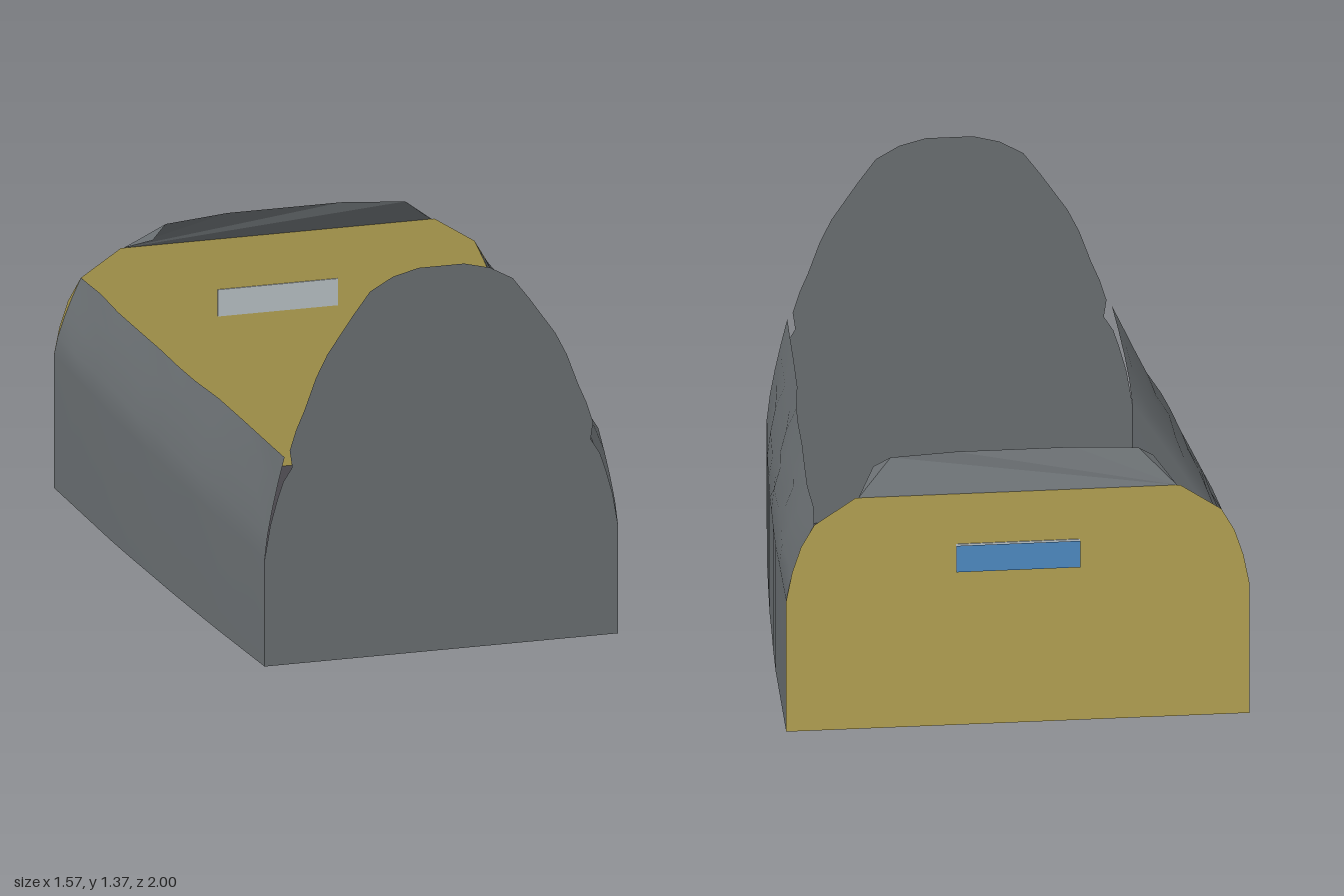
import * as THREE from 'three';

const grey = new THREE.MeshStandardMaterial({ color: 0x6a6f72, side: THREE.DoubleSide, name: 'slate grey' });
const gold = new THREE.MeshStandardMaterial({ color: 0xb5a353, side: THREE.DoubleSide, name: 'ochre' });
const dark = new THREE.MeshStandardMaterial({ color: 0x47454a, side: THREE.DoubleSide, name: 'dark floor' });
const pale = new THREE.MeshStandardMaterial({ color: 0xb9c1c5, side: THREE.DoubleSide, name: 'pale grey' });
const blue = new THREE.MeshStandardMaterial({ color: 0x4e8bc3, side: THREE.DoubleSide, name: 'glass blue' });

const BACK = -0.98;

// Stations along the body: z, half width, half width of top edge, shoulder height
const stations = [
  [1, 0.62, 0.55, 0.38],
  [0.85, 0.637, 0.56, 0.39],
  [0.6, 0.665, 0.575, 0.4],
  [0.35, 0.69, 0.592, 0.41],
  [0.15, 0.709, 0.618, 0.42],
  [0, 0.721, 0.63, 0.43],
  [-0.2, 0.738, 0.64, 0.44],
  [-0.4, 0.753, 0.655, 0.45],
  [-0.6, 0.764, 0.669, 0.46],
  [-0.8, 0.775, 0.672, 0.465],
  [BACK, 0.785, 0.69, 0.47],
];

function add(group, name, geometry, material) {
  const mesh = new THREE.Mesh(geometry, material);
  mesh.name = name;
  group.add(mesh);
  return mesh;
}

// Flat panel symmetric in x, from the outline of its right half
function panel(half) {
  const points = [...half, ...half.map(([x, y]) => [-x, y]).reverse()];
  return new THREE.ShapeGeometry(new THREE.Shape(points.map(([x, y]) => new THREE.Vector2(x, y))));
}

// Side wall lofted through the stations, leaning in above the shoulder
function wall(side) {
  const rows = [0, 0.25, 0.5, 0.75, 1];
  const pos = [];
  const index = [];
  const n = rows.length + 1;
  stations.forEach(([z, wide, top, shoulder], i) => {
    const inner = i > 0 && i < stations.length - 1;
    pos.push(side * wide, 0, z);
    rows.forEach((t) => {
      const dent = inner ? 0.008 * Math.sin(i * 2.3 + t * 5 + side) * Math.sin(t * Math.PI) : 0;
      const x = wide + (top - wide) * Math.pow(t, 1.35) + dent;
      pos.push(side * x, shoulder + (0.738 - shoulder) * t, z);
    });
  });
  for (let i = 0; i < stations.length - 1; i++) {
    for (let j = 0; j < n - 1; j++) {
      const a = i * n + j, b = a + n, c = b + 1, d = a + 1;
      if (side > 0) index.push(a, b, c, a, c, d);
      else index.push(a, c, b, a, d, c);
    }
  }
  const g = new THREE.BufferGeometry();
  g.setAttribute('position', new THREE.Float32BufferAttribute(pos, 3));
  g.setIndex(index);
  g.computeVertexNormals();
  return g;
}

// Folded flap: a slanted sheet with a turned-in corner at each end
function flap() {
  const pos = [];
  const sheet = [
    [-0.54, 0.83, BACK], [-0.42, 0.935, -0.885], [-0.2, 0.95, -0.895],
    [0.2, 0.95, -0.895], [0.42, 0.935, -0.885], [0.54, 0.83, BACK],
  ];
  for (let i = 1; i < sheet.length - 1; i++) pos.push(...sheet[0], ...sheet[i], ...sheet[i + 1]);
  const tip = (s) => [s * 0.475, 0.893, -0.853];
  pos.push(...sheet[0], ...tip(-1), ...sheet[1]);
  pos.push(...sheet[5], ...sheet[4], ...tip(1));
  // Wind every triangle so that its face looks up
  for (let i = 0; i < pos.length; i += 9) {
    const [a, b, c] = [0, 3, 6].map((k) => new THREE.Vector3(...pos.slice(i + k, i + k + 3)));
    if (b.clone().sub(a).cross(c.clone().sub(a)).y < 0) pos.splice(i + 3, 6, ...c.toArray(), ...b.toArray());
  }
  const g = new THREE.BufferGeometry();
  g.setAttribute('position', new THREE.Float32BufferAttribute(pos, 3));
  g.computeVertexNormals();
  return g;
}

export function createModel() {
  const model = new THREE.Group();
  model.name = 'openBody';

  // Floor follows the wall feet
  const floor = panel(stations.map(([z, wide]) => [wide, -z]));
  add(model, 'floor', floor.rotateX(-Math.PI / 2), dark);

  // Side walls
  add(model, 'leftWall', wall(1), grey);
  add(model, 'rightWall', wall(-1), grey);

  // Tall arched front panel, notched where it meets the wall tops
  const front = panel([
    [0.62, 0], [0.62, 0.38], [0.6, 0.5], [0.575, 0.59], [0.555, 0.65], [0.523, 0.7], [0.532, 0.76],
    [0.51, 0.83], [0.48, 0.9], [0.44, 1.01], [0.4, 1.09], [0.31, 1.22],
    [0.25, 1.3], [0.17, 1.345], [0.08, 1.368],
  ]);
  add(model, 'frontPanel', front, grey).position.z = 1;

  // Back panel with rounded shoulders
  const back = panel([
    [0.785, 0], [0.785, 0.47], [0.765, 0.57], [0.735, 0.66], [0.69, 0.738], [0.55, 0.83],
  ]);
  add(model, 'backPanel', back.rotateY(Math.PI), gold).position.z = BACK;
  add(model, 'backFlap', flap(), grey);

  // Rear window: pale plate in the panel and a pane just outside it
  add(model, 'windowPlate', new THREE.BoxGeometry(0.42, 0.095, 0.008), pale).position.set(0, 0.603, BACK);
  const pane = new THREE.PlaneGeometry(0.42, 0.095).rotateY(Math.PI);
  add(model, 'windowPane', pane, blue).position.set(0, 0.603, -1);

  return model;
}
